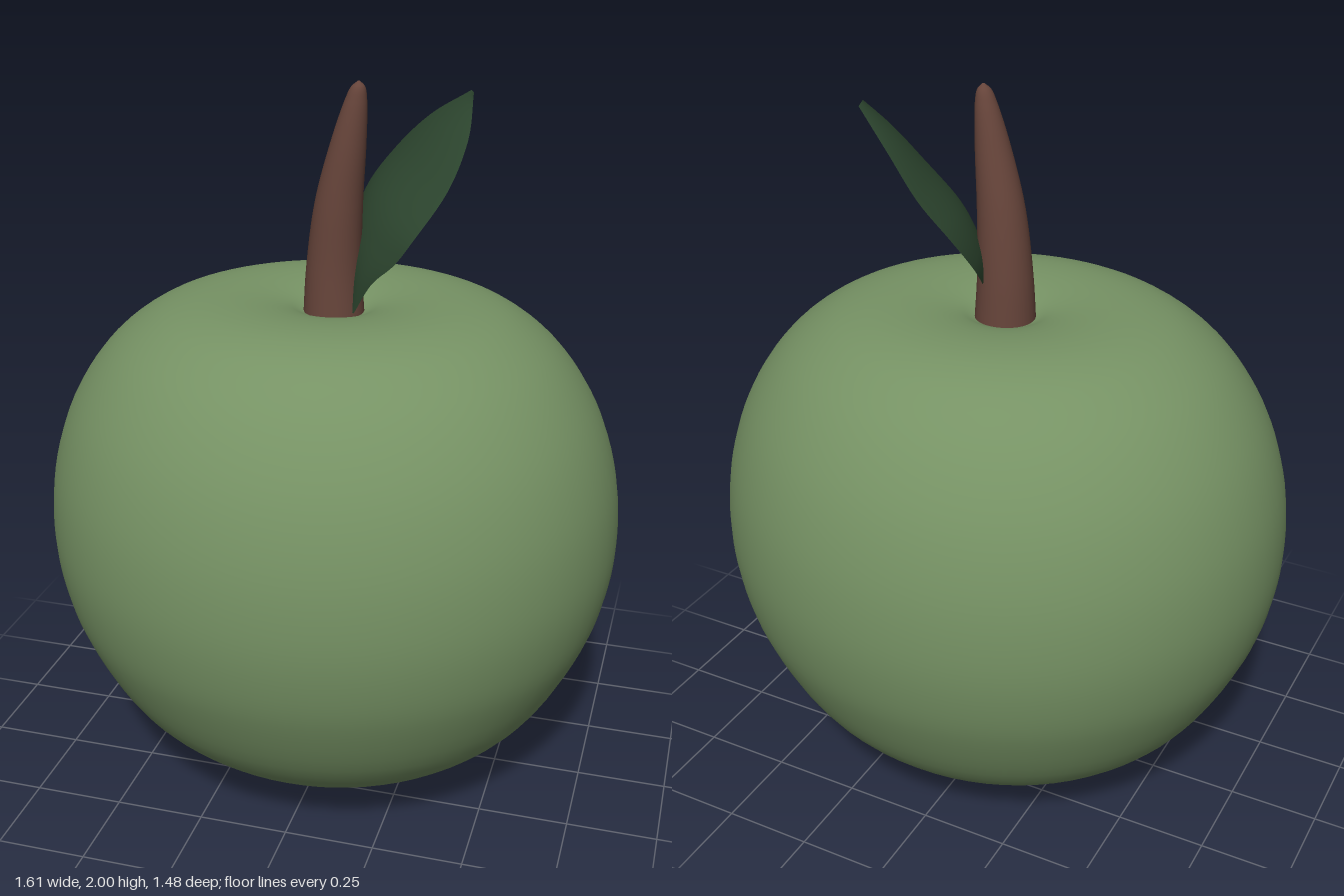
import * as THREE from 'three';
import { ParametricGeometry } from 'three/addons/geometries/ParametricGeometry.js';

const material = (name, color, side = THREE.FrontSide) => {
  const m = new THREE.MeshStandardMaterial({ color, side });
  m.name = name;
  return m;
};
const curve = (points) => new THREE.CatmullRomCurve3(points.map((p) => new THREE.Vector3(...p)), false, 'centripetal');
const addMesh = (group, name, geometry, mat) => {
  const mesh = new THREE.Mesh(geometry, mat);
  mesh.name = name;
  group.add(mesh);
  return mesh;
};

export function createModel() {
  const group = new THREE.Group();
  group.name = 'apple';

  // Fruit: turned profile with a shallow dip at the top, slightly narrower front to back
  const profile = curve([
    [0, 0.005, 0], [0.12, 0.012, 0], [0.27, 0.035, 0], [0.45, 0.11, 0], [0.62, 0.25, 0],
    [0.745, 0.47, 0], [0.79, 0.62, 0], [0.805, 0.77, 0], [0.787, 0.95, 0], [0.725, 1.13, 0],
    [0.62, 1.28, 0], [0.5, 1.37, 0], [0.4, 1.405, 0], [0.3, 1.416, 0], [0.2, 1.41, 0],
    [0.13, 1.395, 0], [0.08, 1.375, 0], [0, 1.36, 0],
  ]).getPoints(80).map((p) => new THREE.Vector2(Math.max(p.x, 0), Math.max(p.y, 0)));
  const fruit = new THREE.LatheGeometry(profile, 72);
  fruit.scale(1, 1, 0.922);
  addMesh(group, 'fruit', fruit, material('apple green', 0x769264));

  // Stem: round sections along a leaning centre line, x = radius in the second curve
  const stemPath = curve([[0, 1.34, 0], [0, 1.5, 0], [0.015, 1.68, 0.006], [0.042, 1.84, 0.012], [0.062, 1.95, 0.014], [0.068, 1.985, 0.015], [0.07, 2, 0.015]]);
  const stemRadius = curve([[0.085, 0, 0], [0.075, 0.16, 0], [0.064, 0.34, 0], [0.047, 0.5, 0], [0.029, 0.61, 0], [0.018, 0.645, 0], [0.002, 0.66, 0]]);
  const stem = new ParametricGeometry((u, v, target) => {
    const r = stemRadius.getPoint(v).x;
    const a = u * Math.PI * 2;
    target.copy(stemPath.getPoint(v));
    target.x += r * Math.cos(a);
    target.z -= r * Math.sin(a);
  }, 28, 36);
  addMesh(group, 'stem', stem, material('stem brown', 0x66443a));

  // Leaf: surface spanned between two edge curves, arched along the middle
  const frontEdge = curve([[0.07, 1.39, 0.055], [0.13, 1.49, 0.1], [0.2, 1.56, 0.14], [0.25, 1.63, 0.15], [0.325, 1.75, 0.1], [0.355, 1.86, 0.01], [0.34, 1.958, -0.13]]);
  const backEdge = curve([[0.06, 1.39, 0.045], [0.035, 1.47, -0.05], [0.01, 1.57, -0.16], [0.03, 1.67, -0.24], [0.1, 1.77, -0.275], [0.2, 1.87, -0.245], [0.325, 1.955, -0.175]]);
  const arch = new THREE.Vector3(-0.03, 0.022, 0.018);
  const leaf = new ParametricGeometry((u, v, target) => {
    target.lerpVectors(backEdge.getPoint(v), frontEdge.getPoint(v), u);
    target.addScaledVector(arch, 4 * u * (1 - u) * Math.sin(Math.PI * v));
  }, 14, 36);
  addMesh(group, 'leaf', leaf, material('leaf green', 0x2d462f, THREE.DoubleSide));

  return group;
}
